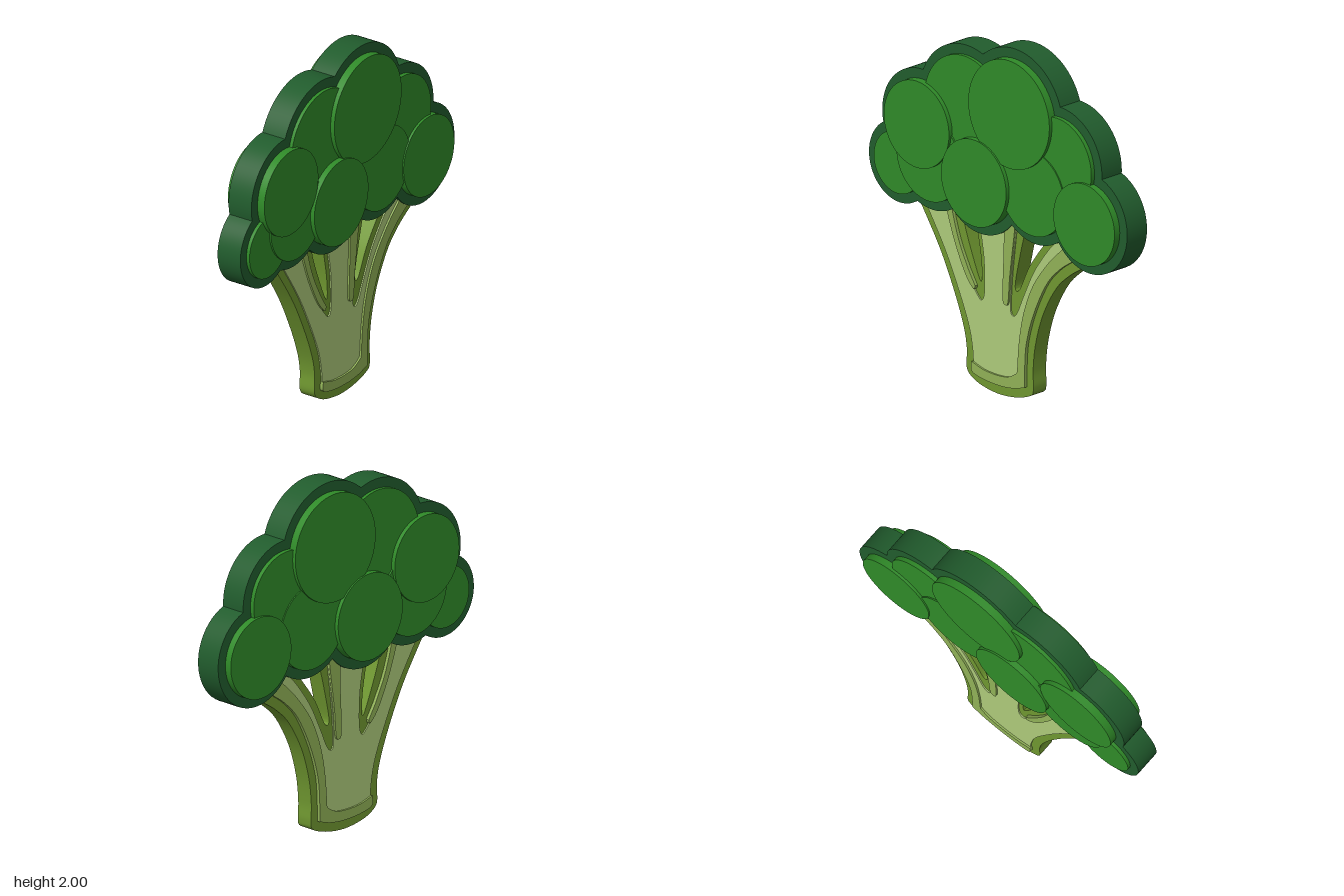
import * as THREE from 'three';
import { toCreasedNormals } from 'three/addons/utils/BufferGeometryUtils.js';

const paint = (color) => new THREE.MeshStandardMaterial({ color });
const LEAF = paint(0x2f8a28), LEAF_DARK = paint(0x215c2d);
const RIM = paint(0x6f9730), SHADE = paint(0x90b157), PITH = paint(0xadca7a);

// Florets: x, y, radius, half thickness; counter-clockwise around the crown
const FLORETS = [
  [0.68, 1.155, 0.23, 0.115],
  [0.46, 1.44, 0.26, 0.1],
  [0.12, 1.64, 0.305, 0.12],
  [-0.24, 1.575, 0.3, 0.095],
  [-0.575, 1.41, 0.245, 0.12],
  [-0.745, 1.145, 0.175, 0.095],
  [-0.5, 1.23, 0.24, 0.105],
  [-0.135, 1.19, 0.245, 0.13],
  [0.28, 1.23, 0.24, 0.107],
];
const BORDER = 0.056;

// Flat plate centred on z = 0, with smooth curved walls and sharp edges
function plate(name, points, half, material) {
  const geo = new THREE.ExtrudeGeometry(new THREE.Shape(points), { depth: 2 * half, bevelEnabled: false });
  geo.translate(0, 0, -half);
  const mesh = new THREE.Mesh(toCreasedNormals(geo, 0.6), material);
  mesh.name = name;
  return mesh;
}

// Joins several smooth runs of points into one outline, with corners between runs
function outline(...runs) {
  return runs.flatMap((run) => {
    const pts = run.map(([x, y]) => new THREE.Vector2(x, y));
    return pts.length > 2 ? new THREE.SplineCurve(pts).getPoints(pts.length * 6) : pts;
  });
}

// Outer crossing point of two neighbouring circles
function crossing([x1, y1, r1], [x2, y2, r2]) {
  const a = r1 + BORDER, b = r2 + BORDER;
  const dx = x2 - x1, dy = y2 - y1, d = Math.hypot(dx, dy);
  const t = (a * a - b * b + d * d) / (2 * d);
  const h = Math.sqrt(Math.max(0, a * a - t * t));
  // neighbours run counter-clockwise, so outside lies to the right
  return new THREE.Vector2(x1 + (t * dx + h * dy) / d, y1 + (t * dy - h * dx) / d);
}

// Scalloped silhouette made of one arc per floret
function crownOutline() {
  const n = FLORETS.length, pts = [];
  FLORETS.forEach((f, i) => {
    const start = crossing(FLORETS[(i + n - 1) % n], f);
    const end = crossing(f, FLORETS[(i + 1) % n]);
    const a0 = Math.atan2(start.y - f[1], start.x - f[0]);
    let a1 = Math.atan2(end.y - f[1], end.x - f[0]);
    while (a1 < a0) a1 += Math.PI * 2;
    const steps = 32;
    for (let k = 0; k < steps; k++) {
      const a = a0 + ((a1 - a0) * k) / steps, r = f[2] + BORDER;
      pts.push(new THREE.Vector2(f[0] + r * Math.cos(a), f[1] + r * Math.sin(a)));
    }
  });
  return pts;
}

function createCrown() {
  const crown = new THREE.Group();
  crown.name = 'crown';
  crown.add(plate('crownBorder', crownOutline(), 0.075, LEAF_DARK));
  FLORETS.forEach(([x, y, r, half], i) => {
    const floret = new THREE.Mesh(new THREE.CylinderGeometry(r, r, 2 * half, 72), LEAF);
    floret.rotation.x = Math.PI / 2;
    floret.position.set(x, y, 0);
    floret.name = `floret${i + 1}`;
    crown.add(floret);
  });
  return crown;
}

function createStem() {
  const stem = new THREE.Group();
  stem.name = 'stem';

  // Stalk with three branches and two open gaps
  stem.add(plate('stalkRim', outline(
    [[-0.68, 1.04], [-0.62, 0.95], [-0.47, 0.72], [-0.36, 0.5], [-0.29, 0.32], [-0.266, 0.2], [-0.266, 0.09],
      [-0.21, 0.04], [-0.12, 0.013], [-0.01, 0.003], [0.11, 0.017], [0.215, 0.053], [0.235, 0.1],
      [0.232, 0.2], [0.25, 0.35], [0.305, 0.53], [0.4, 0.7], [0.5, 0.8], [0.62, 0.88], [0.72, 0.94]],
    [[0.72, 1.04], [0.42, 1.04]],
    [[0.41, 1.03], [0.33, 0.95], [0.21, 0.79], [0.135, 0.64], [0.105, 0.62], [0.1, 0.67], [0.135, 0.83], [0.17, 0.97], [0.18, 1.04]],
    [[-0.2, 1.04], [-0.19, 0.92], [-0.16, 0.75], [-0.152, 0.63], [-0.17, 0.62], [-0.235, 0.77], [-0.285, 0.91], [-0.31, 1.04]],
  ), 0.049, RIM));

  // Pale face of the stalk
  stem.add(plate('stalkFace', outline(
    [[-0.62, 1.04], [-0.565, 0.95], [-0.42, 0.72], [-0.31, 0.5], [-0.24, 0.33], [-0.213, 0.2], [-0.21, 0.12]],
    [[-0.2, 0.1], [-0.1, 0.08], [0.02, 0.075], [0.16, 0.11]],
    [[0.16, 0.2], [0.17, 0.35], [0.21, 0.52], [0.3, 0.72], [0.4, 0.84], [0.54, 0.97]],
    [[0.54, 1.04], [0.45, 1.04]],
    [[0.44, 1.0], [0.36, 0.92], [0.25, 0.77], [0.17, 0.61], [0.12, 0.5], [0.085, 0.475], [0.07, 0.52], [0.08, 0.7], [0.11, 0.95], [0.12, 1.04]],
    [[-0.17, 1.04], [-0.16, 0.93], [-0.13, 0.75], [-0.125, 0.57], [-0.145, 0.507], [-0.18, 0.53], [-0.25, 0.63], [-0.32, 0.79], [-0.365, 0.95], [-0.38, 1.04]],
  ), 0.057, PITH));

  // Raised shading strips: right edge with base, middle branch, left branch
  stem.add(plate('rightShadeStrip', outline(
    [[-0.213, 0.145], [-0.21, 0.09], [-0.12, 0.066], [0, 0.06], [0.1, 0.07], [0.185, 0.095]],
    [[0.187, 0.2], [0.2, 0.35], [0.255, 0.53], [0.35, 0.72], [0.45, 0.83], [0.56, 0.91], [0.62, 0.97]],
    [[0.6, 1.03], [0.53, 1.03]],
    [[0.47, 0.95], [0.36, 0.84], [0.25, 0.69], [0.18, 0.52], [0.145, 0.35], [0.13, 0.17]],
    [[0.125, 0.16], [0.06, 0.125], [-0.02, 0.115], [-0.12, 0.12], [-0.2, 0.142]],
  ), 0.068, SHADE));
  stem.add(plate('middleShadeStrip', outline(
    [[0.03, 1.03], [0.03, 0.85], [0.022, 0.65], [0.022, 0.55], [0.04, 0.527], [0.062, 0.55], [0.075, 0.7], [0.105, 0.92], [0.12, 1.03]],
  ), 0.068, SHADE));
  stem.add(plate('leftShadeStrip', outline(
    [[-0.42, 1.03], [-0.38, 0.9], [-0.33, 0.77], [-0.26, 0.63], [-0.2, 0.56], [-0.185, 0.58]],
    [[-0.235, 0.66], [-0.3, 0.79], [-0.345, 0.92], [-0.37, 1.03]],
  ), 0.068, SHADE));
  return stem;
}

export function createModel() {
  const model = new THREE.Group();
  model.name = 'broccoli';
  model.add(createCrown(), createStem());
  return model;
}
